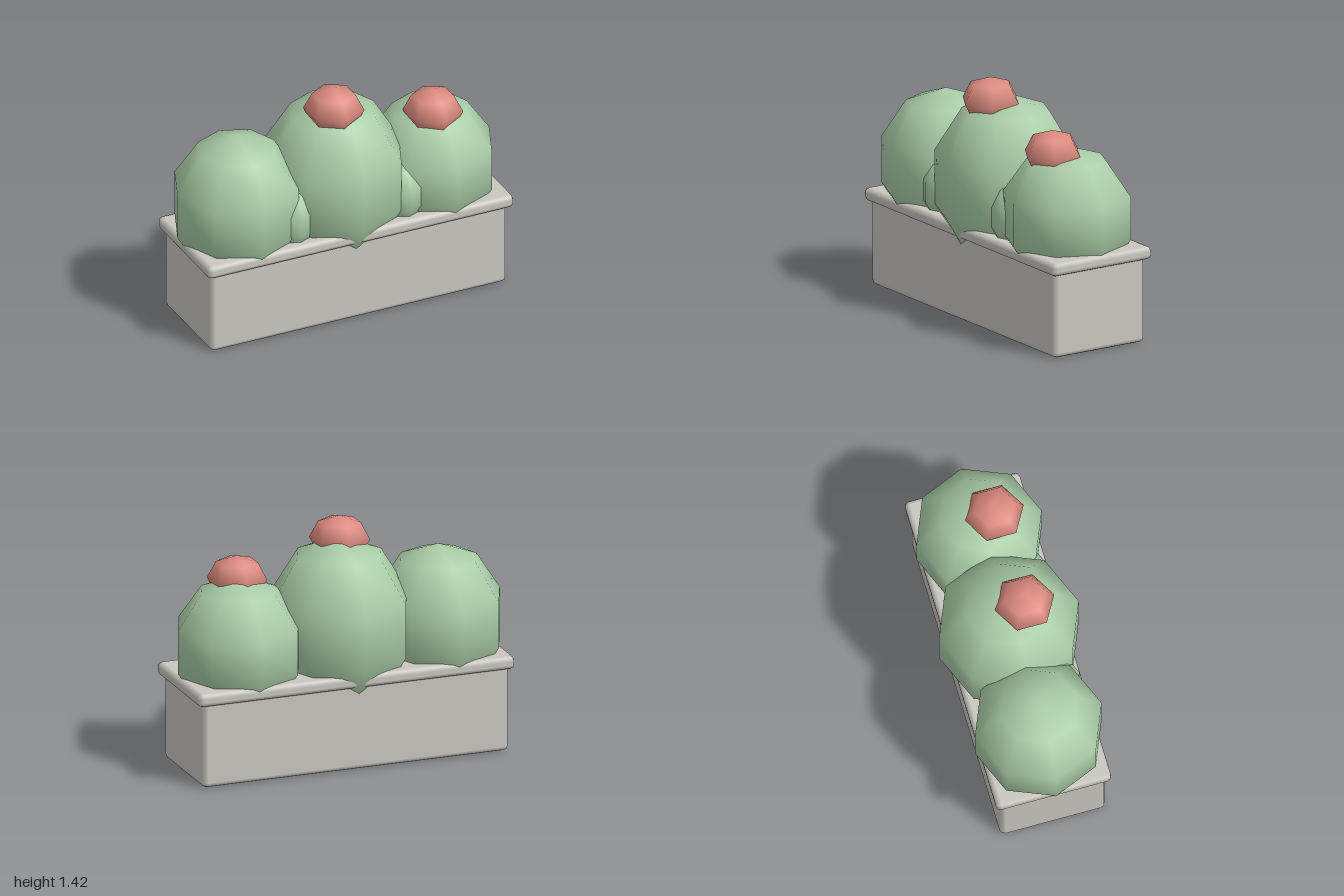
import * as THREE from 'three';
import { RoundedBoxGeometry } from 'three/addons/geometries/RoundedBoxGeometry.js';

function material(name, color) {
  const m = new THREE.MeshStandardMaterial({ color });
  m.name = name;
  return m;
}

export function createModel() {
  const group = new THREE.Group();
  const stone = material('pale stone', 0xcac7c0);
  const green = material('cactus green', 0xa9cca7);
  const pink = material('flower pink', 0xdc8a7e);

  const add = (name, geometry, mat, x, y, z) => {
    const mesh = new THREE.Mesh(geometry, mat);
    mesh.name = name;
    mesh.position.set(x, y, z);
    group.add(mesh);
    return mesh;
  };

  // Coarse ellipsoid: r across, h is half the height
  const blob = (r, h, sides, rings, turn = 0) =>
    new THREE.SphereGeometry(r, sides, rings).rotateY(turn).scale(1, h / r, 1);

  // Trough with a wider rim
  add('planterBox', new RoundedBoxGeometry(1.895, 0.54, 0.63, 1, 0.03), stone, 0.012, 0.27, 0);
  add('planterRim', new RoundedBoxGeometry(1.96, 0.08, 0.69, 1, 0.03), stone, 0.015, 0.54, 0);

  // Three round cacti: x, y, radius, half height
  [
    ['leftmostCactus', -0.62, 0.755, 0.4, 0.45],
    ['middleCactus', -0.005, 0.795, 0.441, 0.525],
    ['rightmostCactus', 0.62, 0.735, 0.395, 0.415],
  ].forEach(([name, x, y, r, h]) => add(name, blob(r, h, 8, 5), green, x, y, 0));

  // Small offshoots in the front gaps
  for (const x of [-0.355, 0.345]) {
    add('offshoot', blob(0.15, 0.2, 8, 5), green, x, 0.69, 0.18);
  }

  // Six-sided blossoms, set toward the front of the crowns
  add('middleBlossom', blob(0.178, 0.14, 6, 4, Math.PI / 2), pink, -0.04, 1.281, 0.084);
  add('sideBlossom', blob(0.176, 0.14, 6, 4, Math.PI / 2), pink, 0.595, 1.113, 0.084);

  return group;
}
